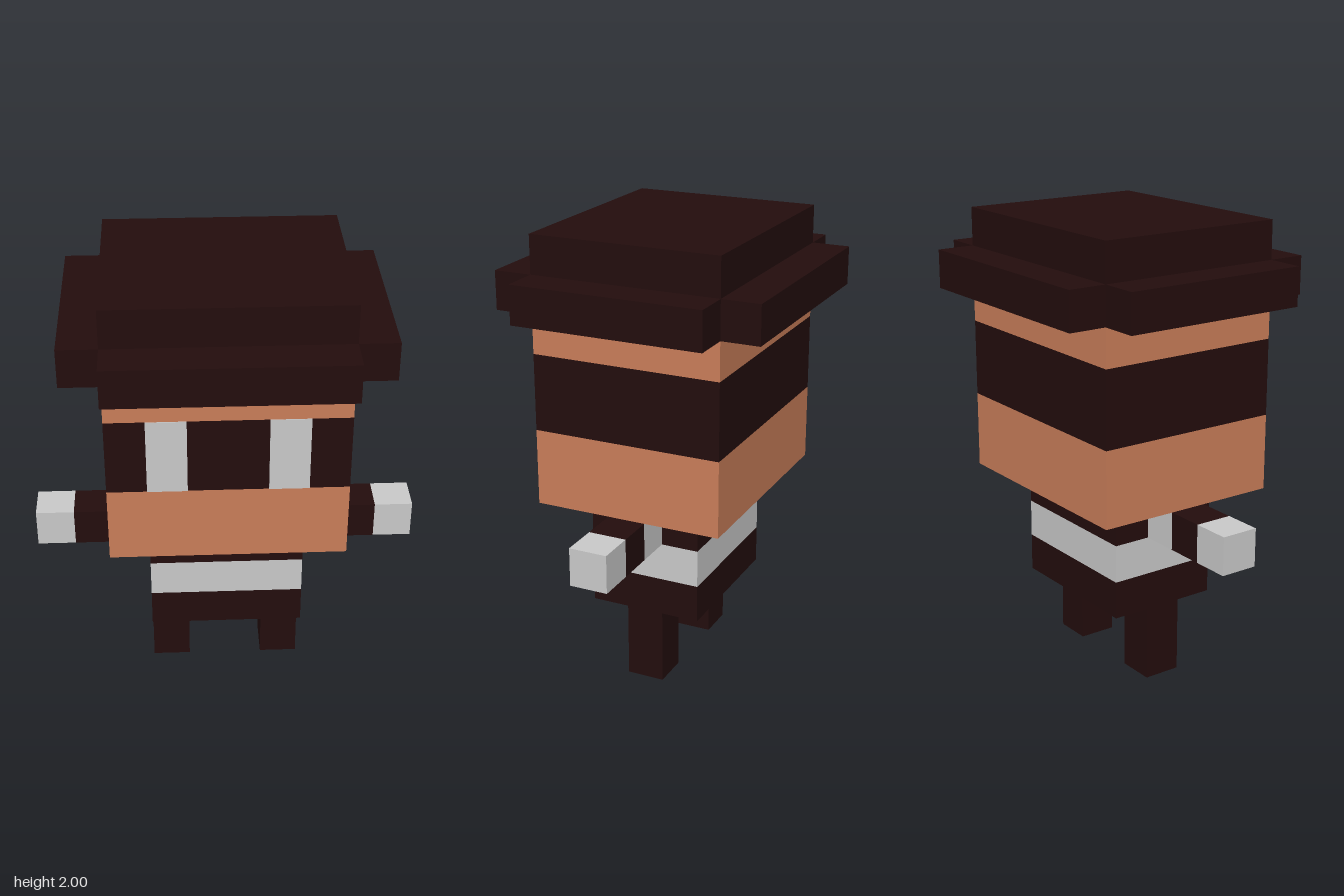
import * as THREE from 'three';

const U = 1 / 6; // one voxel

const material = (name, color) => {
  const m = new THREE.MeshStandardMaterial({ color });
  m.name = name;
  return m;
};

export function createModel() {
  const dark = material('dark cloth', 0x230d0d);
  const skin = material('skin', 0xc97d59);
  const pale = material('pale grey', 0xc9c9c9);

  const model = new THREE.Group();
  model.name = 'blockFigure';

  const group = (name) => {
    const g = new THREE.Group();
    g.name = name;
    model.add(g);
    return g;
  };

  // Box between two corners given in voxels
  const box = (parent, name, mat, [x0, y0, z0], [x1, y1, z1]) => {
    const geo = new THREE.BoxGeometry((x1 - x0) * U, (y1 - y0) * U, (z1 - z0) * U);
    const mesh = new THREE.Mesh(geo, mat);
    mesh.position.set((x0 + x1) * U / 2, (y0 + y1) * U / 2, (z0 + z1) * U / 2);
    mesh.name = name;
    parent.add(mesh);
  };

  // Torso: three stacked bands
  const torso = group('torso');
  box(torso, 'hips', dark, [-2, 2, -1.5], [2, 3, 1.5]);
  box(torso, 'shirtBand', pale, [-2, 3, -1.5], [2, 4, 1.5]);
  box(torso, 'chest', dark, [-2, 4, -1.5], [2, 5, 1.5]);

  // Head: skin with a dark mask wrapped around it
  const head = group('head');
  box(head, 'jaw', skin, [-3, 5, -2.5], [3, 7, 2.5]);
  box(head, 'mask', dark, [-3, 7, -2.5], [3, 9, 2.5]);
  box(head, 'forehead', skin, [-3, 9, -2.5], [3, 10, 2.5]);

  // Hat: crown with four brim strips that leave the corners open
  const hat = group('hat');
  box(hat, 'crown', dark, [-3, 10, -2.5], [3, 12, 2.5]);
  box(hat, 'frontBrim', dark, [-3, 10, 2.5], [3, 11, 3.5]);
  box(hat, 'backBrim', dark, [-3, 10, -3.5], [3, 11, -2.5]);

  // Mirrored parts
  for (const [side, s] of [['left', 1], ['right', -1]]) {
    const pair = (parent, name, mat, a, b, y0, y1, z0, z1) =>
      box(parent, side + name, mat,
        [Math.min(a * s, b * s), y0, z0], [Math.max(a * s, b * s), y1, z1]);

    pair(hat, 'Brim', dark, 3, 4, 10, 11, -2.5, 2.5);
    pair(head, 'Eye', pale, 1, 2, 7, 9, 2.5, 2.52);

    const arm = group(side + 'Arm');
    pair(arm, 'Sleeve', pale, 2, 3, 4, 5, -0.5, 0.5);
    pair(arm, 'Cuff', dark, 3, 4, 4, 5, -0.5, 0.5);
    pair(arm, 'Hand', pale, 4, 5, 4, 5, -0.5, 0.5);

    pair(model, 'Leg', dark, 1, 2, 0, 2, -0.5, 0.5);
  }

  return model;
}
